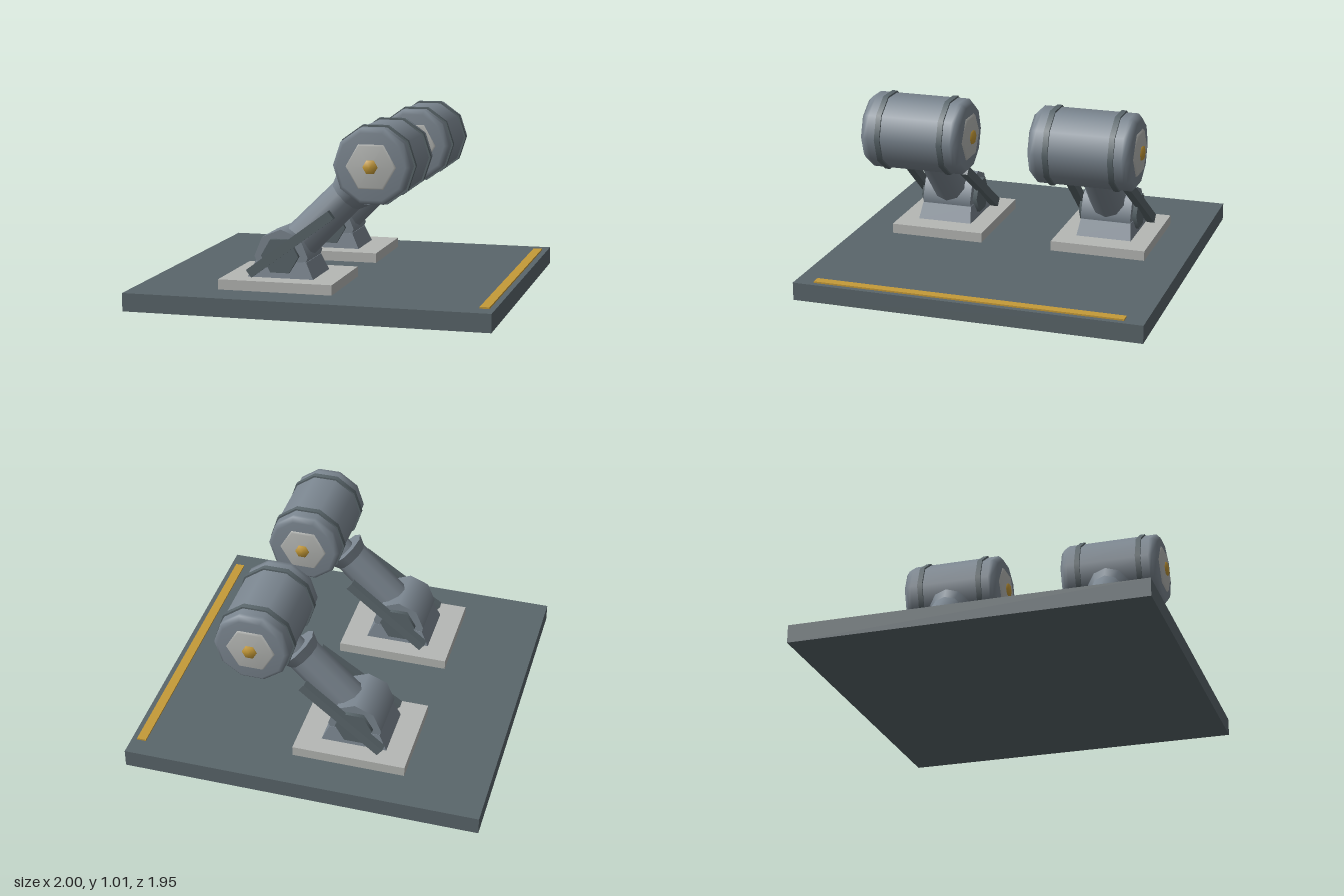
import * as THREE from 'three';

const mat = (name, color) => {
  const m = new THREE.MeshStandardMaterial({ color });
  m.name = name;
  return m;
};

export function createModel() {
  const steel = mat('blue grey steel', 0x7c8791);
  const dark = mat('dark slate', 0x5a666b);
  const pale = mat('pale grey', 0xb6b8b5);
  const gold = mat('gold', 0xc59a38);

  const add = (parent, name, geometry, material, x = 0, y = 0, z = 0) => {
    const mesh = new THREE.Mesh(geometry, material);
    mesh.name = name;
    mesh.position.set(x, y, z);
    parent.add(mesh);
    return mesh;
  };
  // Revolved profile around y, with a corner pointing along x
  const lathe = (pts, sides) =>
    new THREE.LatheGeometry(pts.map(([r, y]) => new THREE.Vector2(r, y)), sides).rotateY(Math.PI / 2);
  const drum = (r0, r1, h, sides) =>
    new THREE.CylinderGeometry(r1, r0, h, sides).rotateY(Math.PI / 2);
  const alongZ = (g) => g.rotateX(Math.PI / 2);

  const model = new THREE.Group();
  model.name = 'twinTankArms';

  // Ground slab with a marking strip along its right edge
  add(model, 'baseSlab', new THREE.BoxGeometry(2, 0.1, 1.95), dark, 0, 0.05, 0);
  add(model, 'edgeStripe', new THREE.BoxGeometry(0.052, 0.009, 1.73), gold, 0.943, 0.1045, 0);

  function buildUnit(name, z) {
    const unit = new THREE.Group();
    unit.name = name;
    unit.position.z = z;
    model.add(unit);
    const px = -0.22, py = 0.27, tx = 0.315, ty = 0.797;

    // Pad and tapered pedestal
    add(unit, 'footPad', new THREE.BoxGeometry(0.635, 0.056, 0.545), pale, -0.218, 0.128, 0);
    const pedestal = new THREE.BoxGeometry(0.37, 0.09, 0.32);
    const p = pedestal.attributes.position;
    for (let i = 0; i < p.count; i++) {
      if (p.getY(i) > 0) p.setXYZ(i, p.getX(i) * 0.77, p.getY(i), p.getZ(i) * 0.92);
    }
    pedestal.computeVertexNormals();
    add(unit, 'pedestal', pedestal, steel, px, 0.2, 0);

    // Elbow drum with its side hubs
    add(unit, 'elbow', alongZ(drum(0.15, 0.15, 0.29, 8)), steel, px, py, 0);
    add(unit, 'elbowHub', alongZ(drum(0.105, 0.105, 0.34, 6)), dark, px, py + 0.008, 0);

    // Sloping arm, flared at the top, and the neck into the tank
    const arm = new THREE.Group();
    arm.name = 'arm';
    arm.position.set(px, py, 0);
    arm.rotation.z = -Math.PI / 4;
    unit.add(arm);
    add(arm, 'armTube', drum(0.105, 0.1, 0.38, 10), steel, 0, 0.27, 0);
    add(arm, 'armFlare', drum(0.1, 0.125, 0.06, 10), steel, 0, 0.49, 0);
    add(arm, 'armNeck', drum(0.06, 0.06, 0.1, 10), steel, 0, 0.56, 0);

    // Tank with chamfered ends
    add(unit, 'tank', alongZ(lathe([
      [0, -0.285], [0.185, -0.285], [0.21, -0.262], [0.21, -0.24],
      [0.21, 0.24], [0.21, 0.262], [0.185, 0.285], [0, 0.285],
    ], 10)), steel, tx, ty, 0);

    for (const s of [-1, 1]) {
      // Tank band
      add(unit, 'tankBand', alongZ(drum(0.22, 0.22, 0.03, 10)), dark, tx, ty, s * 0.18);

      // Domed end cap and gold bolt
      const end = new THREE.Group();
      end.name = 'tankEnd';
      end.position.set(tx, ty, 0);
      if (s < 0) end.rotation.y = Math.PI;
      unit.add(end);
      add(end, 'endCap', alongZ(lathe([[0.14, 0.28], [0.125, 0.296], [0, 0.3]], 6)), pale);
      add(end, 'endBolt', alongZ(lathe([[0.044, 0.285], [0.038, 0.31], [0, 0.312]], 6)), gold);

      // Leaning brace
      const a = new THREE.Vector3(-0.382, 0.182, s * 0.194);
      const b = new THREE.Vector3(0.068, 0.516, s * 0.163);
      const dir = b.clone().sub(a);
      const brace = add(unit, 'brace', new THREE.BoxGeometry(dir.length(), 0.052, 0.046), dark);
      brace.position.copy(a).add(b).multiplyScalar(0.5);
      brace.quaternion.setFromUnitVectors(new THREE.Vector3(1, 0, 0), dir.normalize());
    }
  }

  buildUnit('frontUnit', 0.48);
  buildUnit('backUnit', -0.48);
  return model;
}
